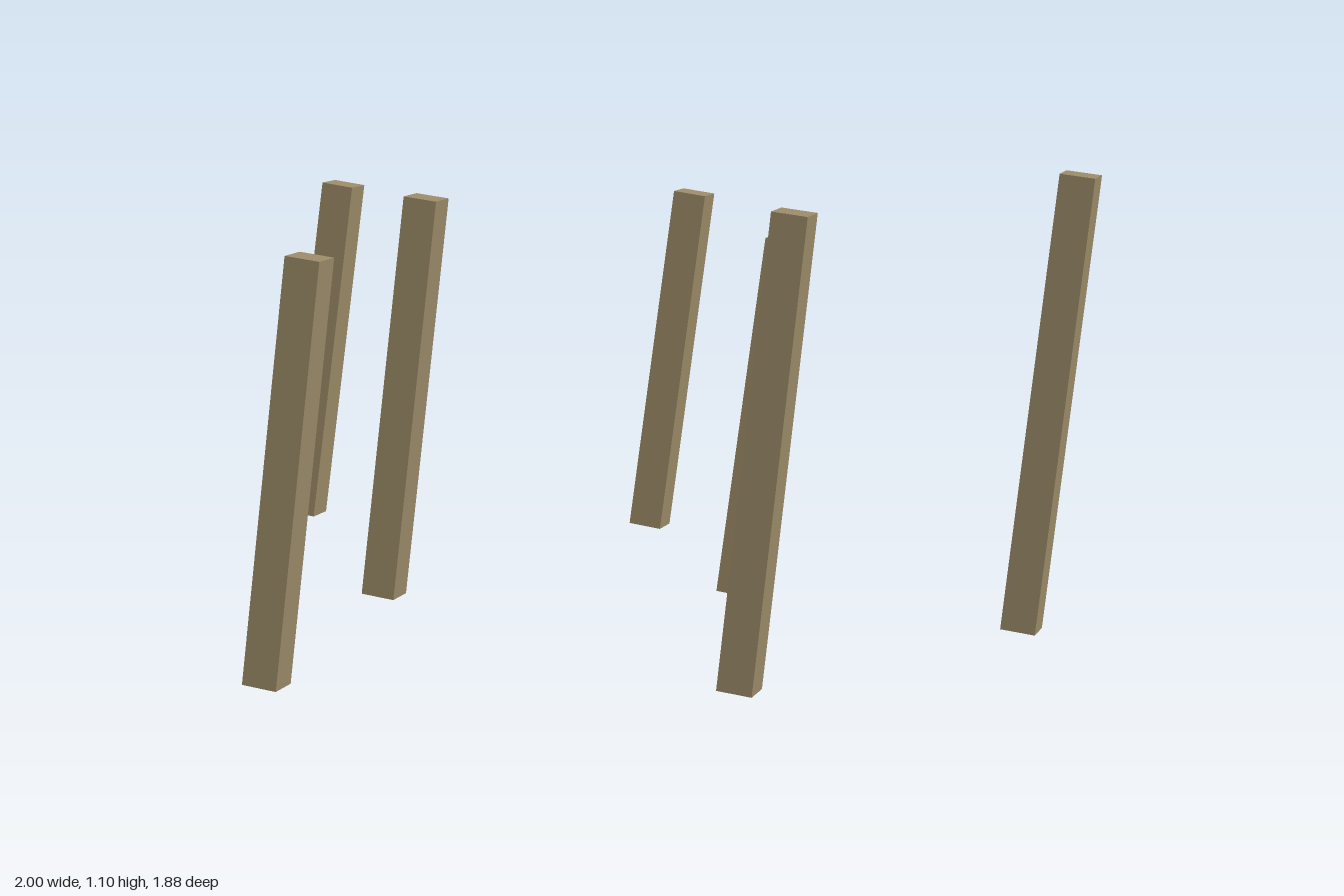
import * as THREE from 'three';

export function createModel() {
  const model = new THREE.Group();
  model.name = 'leaningPosts';
  const wood = new THREE.MeshStandardMaterial({ color: 0x9c8b68 });
  wood.name = 'weatheredWood';

  const radius = 0.059;
  const lean = 0.123; // sideways shift from foot to top, the same for every post
  const footY = 0.008;

  // middle x, z and rise of each post
  const posts = [
    [-0.88, 0.385, 0.976],
    [-0.38, -0.125, 0.976],
    [-0.29, -0.88, 0.87],
    [0.065, 0.88, 1.084],
    [0.41, 0.23, 0.87],
    [0.48, -0.385, 0.87],
    [0.877, 0.78, 1.084],
  ];

  posts.forEach(([x, z, rise], i) => {
    // square post set corner-on, tilted towards +x
    const geometry = new THREE.CylinderGeometry(radius, radius, Math.hypot(rise, lean), 4).toNonIndexed();
    geometry.computeVertexNormals();
    const post = new THREE.Mesh(geometry, wood);
    post.name = `post${i + 1}`;
    post.position.set(x, footY + rise / 2, z);
    post.rotation.z = -Math.atan2(lean, rise);
    model.add(post);
  });

  return model;
}
